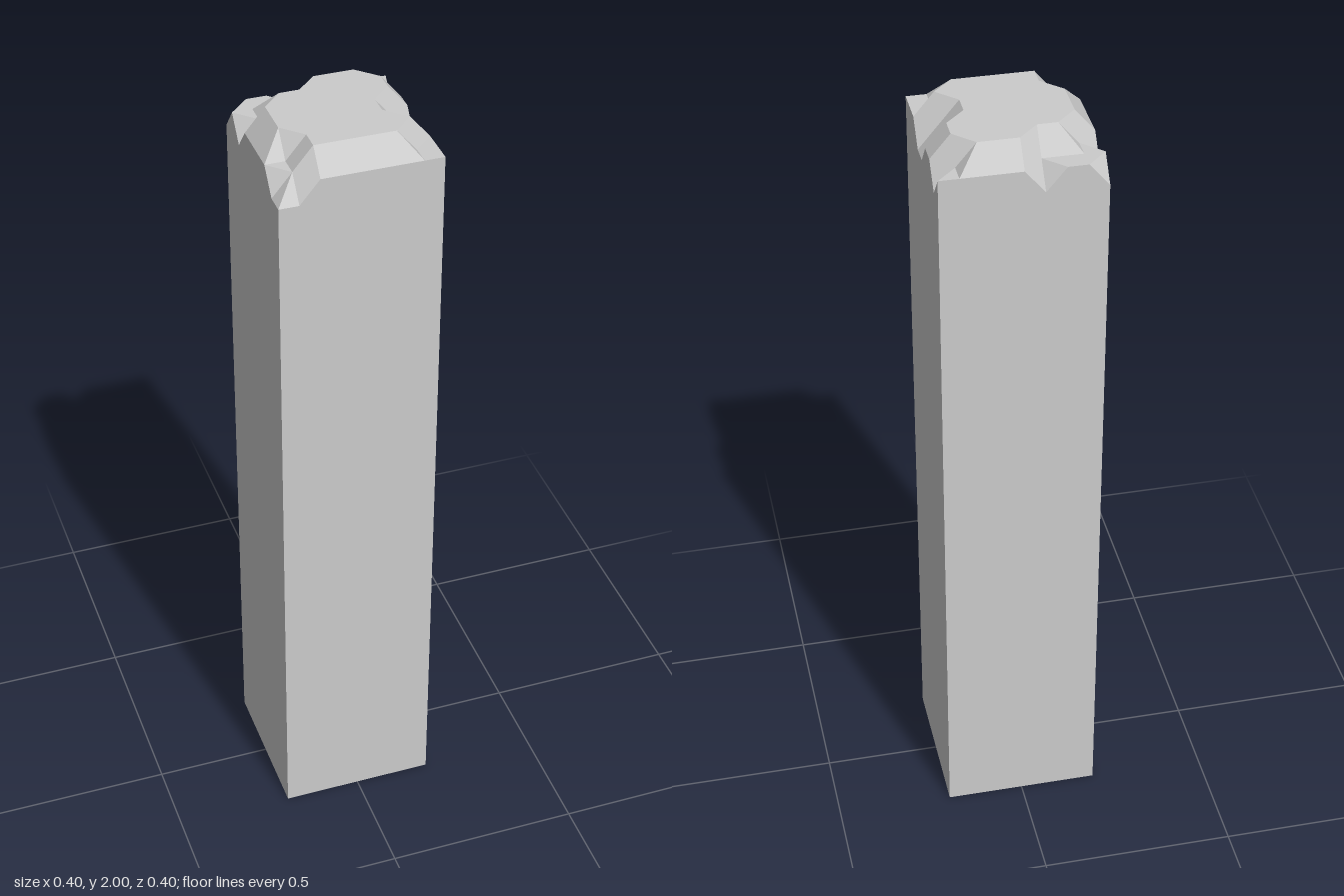
import * as THREE from 'three';

const N = 8, CELL = 0.05, HEIGHT = 2, STEP = 0.06;

// Chipped depth of the top in steps: rows run back to front, columns along +x
const CHIPS = [
  '211211111',
  '111100012',
  '210000001',
  '100000001',
  '100000012',
  '100000012',
  '110000001',
  '210000011',
  '221111111',
];

// Cells (column + row) whose crease runs from back -x to front +x
const BACKSLASH = new Set(['01', '11', '20', '61', '65', '15', '06', '67']);

const point = (c, r) => new THREE.Vector3(
  (c - N / 2) * CELL, HEIGHT - STEP * Number(CHIPS[r][c]), (r - N / 2) * CELL);

const onGround = (p) => new THREE.Vector3(p.x, 0, p.z);

// Flat-faced mesh from a list of corners, three per triangle
function facetMesh(name, corners) {
  const geometry = new THREE.BufferGeometry().setFromPoints(corners);
  geometry.computeVertexNormals();
  const material = new THREE.MeshStandardMaterial({ color: 0xcccccc, flatShading: true });
  const mesh = new THREE.Mesh(geometry, material);
  mesh.name = name;
  return mesh;
}

// Broken top surface
function brokenTop() {
  const tris = [];
  for (let r = 0; r < N; r++) {
    for (let c = 0; c < N; c++) {
      const a = point(c, r), b = point(c + 1, r);
      const d = point(c, r + 1), e = point(c + 1, r + 1);
      if (BACKSLASH.has(`${c}${r}`)) tris.push(a, d, e, a, e, b);
      else tris.push(a, d, b, b, d, e);
    }
  }
  return facetMesh('brokenTop', tris);
}

// Four walls following the chipped rim, walked front, +x side, back, -x side
function shaftWalls() {
  const rim = [];
  for (let i = 0; i < N; i++) rim.push(point(i, N));
  for (let i = 0; i < N; i++) rim.push(point(N, N - i));
  for (let i = 0; i < N; i++) rim.push(point(N - i, 0));
  for (let i = 0; i < N; i++) rim.push(point(0, i));
  const tris = [];
  rim.forEach((a, i) => {
    const b = rim[(i + 1) % rim.length];
    tris.push(onGround(a), onGround(b), b, onGround(a), b, a);
  });
  return facetMesh('shaft', tris);
}

// Underside
function base() {
  const [a, b, c, d] = [[0, 0], [N, 0], [N, N], [0, N]].map(([x, z]) => onGround(point(x, z)));
  return facetMesh('base', [a, b, c, a, c, d]);
}

export function createModel() {
  const pillar = new THREE.Group();
  pillar.name = 'brokenPillar';
  pillar.add(brokenTop(), shaftWalls(), base());
  return pillar;
}
